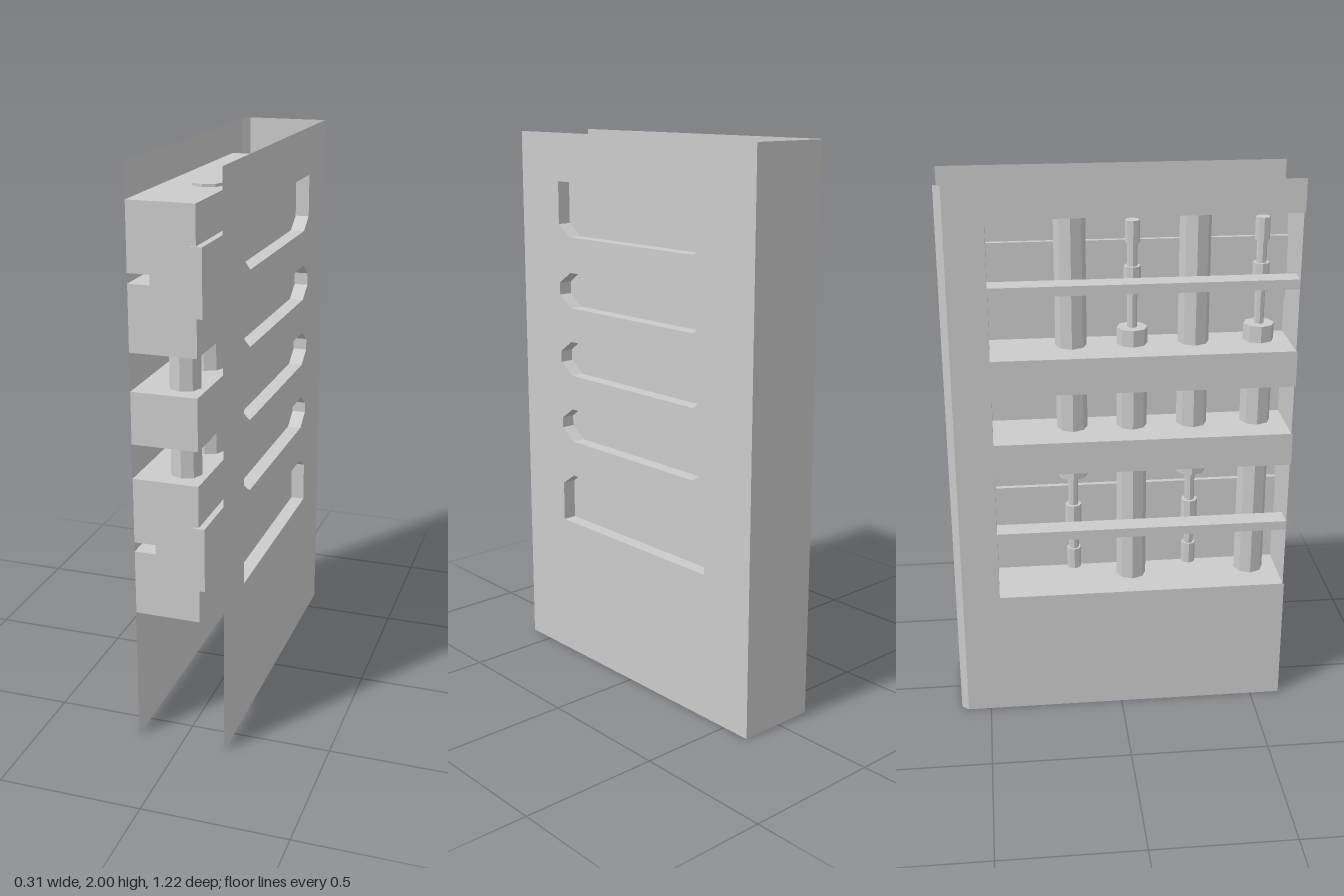
import * as THREE from 'three';

const material = new THREE.MeshStandardMaterial({ color: 0xcccccc, flatShading: true, side: THREE.DoubleSide });

export function createModel() {
  const model = new THREE.Group();

  function add(name, geometry, x = 0, y = 0, z = 0, parent = model) {
    const mesh = new THREE.Mesh(geometry, material);
    mesh.name = name;
    mesh.position.set(x, y, z);
    parent.add(mesh);
    return mesh;
  }

  // Thin-walled box between two corners; open lists faces to leave out
  // (0 +x, 1 -x, 2 +y, 3 -y, 4 +z, 5 -z)
  function box(name, [x0, y0, z0], [x1, y1, z1], open = [], parent = model) {
    const g = new THREE.BoxGeometry(x1 - x0, y1 - y0, z1 - z0);
    const index = Array.from(g.index.array);
    g.setIndex(index.filter((_, i) => !open.includes(Math.floor(i / 6))));
    g.clearGroups();
    return add(name, g, (x0 + x1) / 2, (y0 + y1) / 2, (z0 + z1) / 2, parent);
  }

  const outline = (points) => new THREE.Shape(points.map(([a, b]) => new THREE.Vector2(a, b)));
  const rect = (a0, b0, a1, b1) => outline([[a0, b0], [a1, b0], [a1, b1], [a0, b1]]);

  // Shapes drawn as (z, y) turned to face sideways
  const sideways = (g) => g.rotateY(-Math.PI / 2);

  const OUTER = 0.155, INNER = -0.16, DEPTH = 0.61;
  const BACK = -0.45, FRONT = 0.605;

  // Louvred side panel with a rectangular window
  const panel = rect(-DEPTH, 0, DEPTH, 2);
  panel.holes.push(rect(-0.393, 0.535, 0.393, 1.827));
  add('louvrePanel', sideways(new THREE.ShapeGeometry(panel)), OUTER);

  // Recessed tray behind the window
  box('louvreTray', [0.105, 0.535, -0.393], [OUTER, 1.827, 0.393], [0]);

  // Louvre bars that flare at both ends
  for (const [low, high] of [[0.725, 0.86], [0.985, 1.115], [1.243, 1.37], [1.5, 1.63]]) {
    const e = 0.393, m = 0.33, f = 0.043;
    const bar = outline([[-e, low - f], [-m, low], [m, low], [e, low - f],
      [e, high + f], [m, high], [-m, high], [-e, high + f]]);
    add('louvreBar', sideways(new THREE.ExtrudeGeometry(bar, { depth: 0.05, bevelEnabled: false })), OUTER);
  }

  // Back wall with a narrow bevel at one corner
  add('backWall', new THREE.PlaneGeometry(0.295, 2).rotateY(Math.PI), 0.0075, 1, -DEPTH);
  const bevel = add('backBevel', new THREE.PlaneGeometry(Math.hypot(0.02, 0.025), 2), -0.15, 1, -0.5975);
  bevel.rotation.y = Math.PI + Math.atan2(0.025, 0.02);

  // Opposite side panel, cut away beside each of the three housings
  const housings = [[0.48, 0.97], [1.09, 1.27], [1.4, 1.885]];
  const comb = [[-0.585, 2], [-0.585, 0], [DEPTH, 0]];
  for (const [low, high] of housings) comb.push([DEPTH, low], [BACK, low], [BACK, high], [DEPTH, high]);
  comb.push([DEPTH, 2]);
  add('openSidePanel', sideways(new THREE.ShapeGeometry(outline(comb))), INNER);

  // Housings: shells open to the side, the two tall ones with a slotted rail
  for (const [low, high] of housings) {
    const housing = new THREE.Group();
    housing.name = 'housing';
    model.add(housing);
    box('shell', [INNER, low, BACK], [0.068, high, FRONT], [1, 4], housing);
    let face = rect(INNER, low, 0.068, high);
    if (high - low > 0.3) {
      const mid = low < 1 ? 0.725 : 1.64;
      face = outline([[INNER, low], [0.068, low], [0.068, high], [INNER, high],
        [INNER, mid + 0.017], [-0.085, mid + 0.017], [-0.085, mid - 0.017], [INNER, mid - 0.017]]);
      box('slotRail', [INNER, mid - 0.017, BACK], [-0.085, mid + 0.017, FRONT], [4, 5], housing);
      // Cover plate standing proud of the closed side
      const plateLow = low < 1 ? 0.6 : 1.53;
      box('sidePlate', [0.05, plateLow, -0.455], [0.09, plateLow + 0.225, 0.613], [], housing);
    }
    add('frontFace', new THREE.ShapeGeometry(face), 0, 0, FRONT, housing);
  }

  // Eight-sided posts, alternately pointing up and down, each with a stepped rod
  const MID = 1.18;
  [-0.165, 0.05, 0.267, 0.5].forEach((z, i) => {
    const post = new THREE.Group();
    post.name = 'post';
    post.position.set(-0.01, MID, z);
    if (i % 2 === 0) post.rotation.x = Math.PI;
    model.add(post);
    const part = (name, radius, y0, y1) =>
      add(name, new THREE.CylinderGeometry(radius, radius, y1 - y0, 8), 0, (y0 + y1) / 2, 0, post);
    part('barrel', 0.055, -0.715, 0.28);
    part('rod', 0.018, 0.28, 0.66);
    part('rodCollar', 0.03, 0.4, 0.5);
    part('rodTip', 0.026, 0.58, 0.66);
  });

  return model;
}
